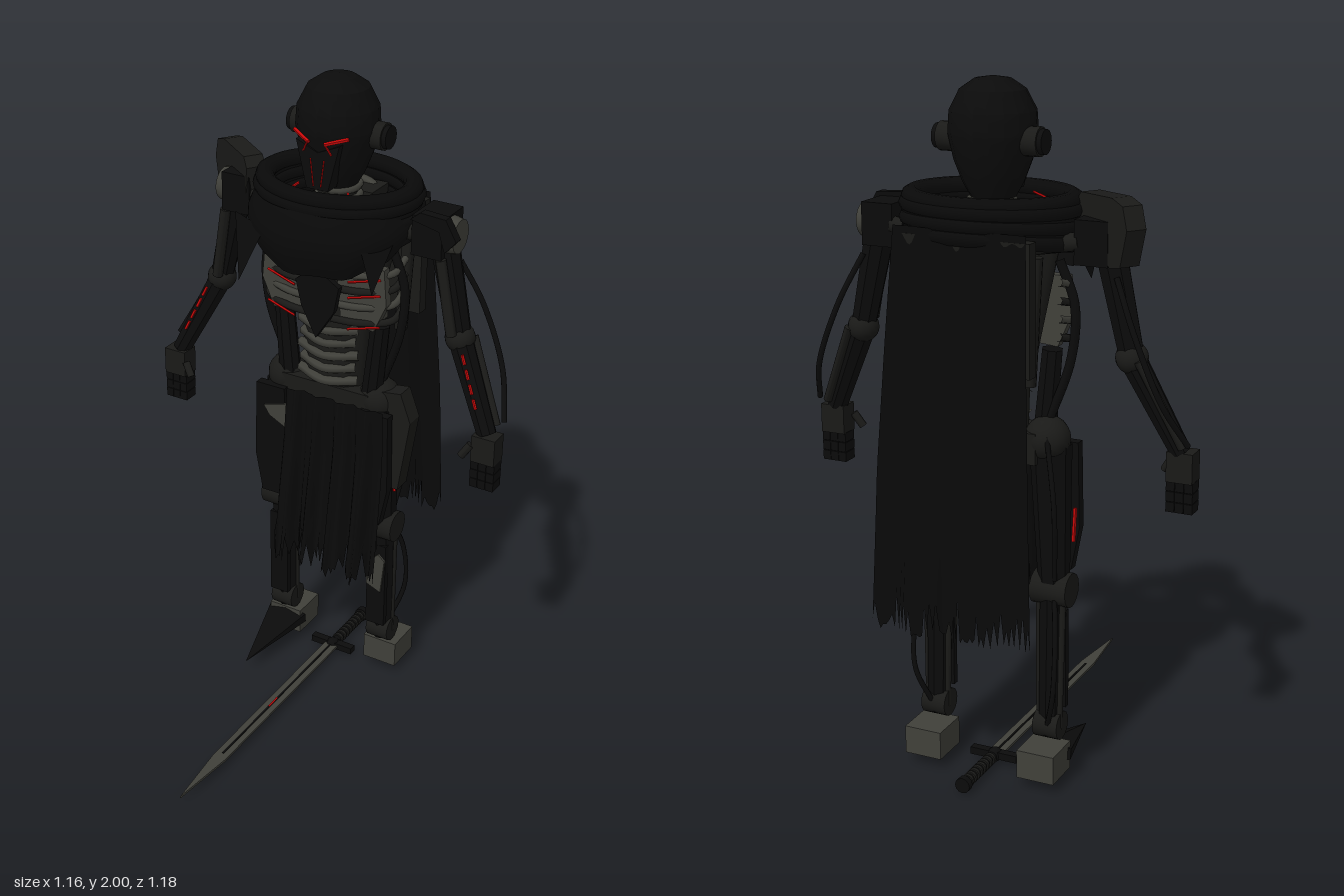
import * as THREE from 'three';
import { toCreasedNormals } from 'three/addons/utils/BufferGeometryUtils.js';

const V = (x, y, z) => new THREE.Vector3(x, y, z);
const paint = (name, color, side = THREE.FrontSide) => {
  const m = new THREE.MeshStandardMaterial({ color, side });
  m.name = name;
  return m;
};

export function createModel() {
  const root = new THREE.Group();
  root.name = 'raggedSwordsmanRobot';
  const black = paint('black armour', 0x0b0b0b);
  const cloth = paint('black cloth', 0x090909, THREE.DoubleSide);
  const dark = paint('dark metal', 0x1a1a18);
  const grey = paint('worn grey metal', 0x40403a);
  const red = paint('red glow', 0xc80808);

  let seed = 7;
  const rnd = () => (seed = (seed * 16807) % 2147483647) / 2147483647;

  // Helpers
  const add = (name, geo, mat, x = 0, y = 0, z = 0) => {
    const m = new THREE.Mesh(geo, mat);
    m.name = name;
    m.position.set(x, y, z);
    root.add(m);
    return m;
  };
  const box = (name, mat, w, h, d, x, y, z) => add(name, new THREE.BoxGeometry(w, h, d), mat, x, y, z);
  const ball = (name, mat, r, x, y, z) => add(name, new THREE.SphereGeometry(r, 16, 12), mat, x, y, z);
  const limb = (name, mat, a, b, r0, r1 = r0, sides = 12) => {
    const d = b.clone().sub(a);
    const m = add(name, toCreasedNormals(new THREE.CylinderGeometry(r1, r0, d.length(), sides), 0.7), mat);
    m.position.copy(a).addScaledVector(d, 0.5);
    m.quaternion.setFromUnitVectors(V(0, 1, 0), d.normalize());
    return m;
  };
  const hose = (name, mat, r, ...pts) =>
    add(name, new THREE.TubeGeometry(new THREE.CatmullRomCurve3(pts), 24, r, 6), mat);
  const plate = (name, mat, pts, depth, z, x = 0) => {
    const shape = new THREE.Shape(pts.map(p => new THREE.Vector2(...p)));
    const geo = new THREE.ExtrudeGeometry(shape, { depth, bevelEnabled: false });
    return add(name, geo.translate(0, 0, -depth / 2), mat, x, 0, z);
  };

  // Head: faceted helmet, ear discs, face mask and glowing slits
  const skull = [[0, 1.68], [0.062, 1.68], [0.084, 1.72], [0.107, 1.78], [0.122, 1.85], [0.118, 1.91],
    [0.09, 1.965], [0.05, 1.992], [0, 2]].map(p => new THREE.Vector2(...p));
  add('helmet', toCreasedNormals(new THREE.LatheGeometry(skull, 18), 0.4), black, 0, 0, -0.27);
  plate('faceMask', black, [[-0.07, 1.83], [-0.035, 1.69], [0.035, 1.69], [0.07, 1.83], [0, 1.8]], 0.05, -0.18);
  for (const s of [-1, 1]) {
    limb('earDisc', black, V(s * 0.1, 1.835, -0.285), V(s * 0.162, 1.835, -0.285), 0.034, 0.034, 18);
    limb('earCap', dark, V(s * 0.1, 1.835, -0.285), V(s * 0.148, 1.835, -0.285), 0.04, 0.04, 18);
    limb('eyeSlit', red, V(s * 0.025, 1.83, -0.148), V(s * 0.088, 1.848, -0.177), 0.006, 0.006, 5);
    limb('browSlit', red, V(s * 0.03, 1.828, -0.148), V(s * 0.045, 1.8, -0.154), 0.003, 0.003, 5);
    limb('cheekLine', red, V(s * 0.022, 1.78, -0.154), V(s * 0.012, 1.7, -0.154), 0.002, 0.002, 4);
    limb('collarLight', red, V(s * 0.08, 1.685, -0.19), V(s * 0.11, 1.66, -0.15), 0.004, 0.004, 4);
  }

  // Neck with stacked rings
  limb('neck', dark, V(0, 1.5, -0.28), V(0, 1.72, -0.27), 0.06);
  for (let i = 0; i < 4; i++) {
    const ring = add('neckRing', new THREE.TorusGeometry(0.06, 0.012, 6, 18), grey, 0, 1.58 + i * 0.03, -0.28);
    ring.rotation.x = Math.PI / 2;
  }
  hose('neckBackPipe', grey, 0.015, V(-0.07, 1.5, -0.36), V(-0.05, 1.63, -0.4), V(0.05, 1.63, -0.4), V(0.07, 1.5, -0.36));

  // Rolled cowl, each fold lower and dipping at the front
  for (let i = 0; i < 6; i++) {
    const fold = add('cowlFold', new THREE.TorusGeometry(0.225 + (i % 2) * 0.008, 0.03, 10, 40), cloth,
      0, 1.682 - i * 0.022, -0.28);
    fold.rotation.x = Math.PI / 2 + i * 0.03;
    fold.scale.set(1, 0.8, 0.8);
  }
  // Front drape of the cowl
  const drape = new THREE.PlaneGeometry(1, 1, 24, 6);
  for (let i = 0, p = drape.attributes.position; i < p.count; i++) {
    const a = p.getX(i) * 2.9, t = 0.5 - p.getY(i);
    const front = Math.max(0, Math.cos(a));
    const bulge = 1 + 0.13 * Math.sin(t * Math.PI) - 0.04 * t;
    p.setXYZ(i, Math.sign(a) * Math.abs(Math.sin(a)) ** 0.85 * 0.235 * bulge,
      1.65 - t * (0.11 + 0.085 * front) + 0.006 * Math.sin(a * 9) * t, -0.28 + Math.cos(a) ** 0.85 * 0.21 * bulge);
  }
  drape.computeVertexNormals();
  add('cowlDrape', drape, cloth);
  for (const [tip, a, b] of [
    [V(-0.18, 1.42, -0.02), V(-0.26, 1.58, -0.13), V(-0.13, 1.57, -0.08)],
    [V(0.23, 1.45, -0.07), V(0.17, 1.58, -0.1), V(0.24, 1.58, -0.18)]]) {
    const tear = new THREE.BufferGeometry().setFromPoints([tip, b, a]);
    tear.computeVertexNormals();
    add('cowlTear', tear, cloth);
  }

  // Torso: core, ribs and belly plates
  limb('chestCore', dark, V(0, 1.24, -0.28), V(0, 1.56, -0.28), 0.13, 0.2, 10).scale.z = 0.4;
  limb('belly', dark, V(0, 1.0, -0.28), V(0, 1.26, -0.28), 0.1, 0.11, 10).scale.z = 0.7;
  for (let i = 0; i < 5; i++) {
    const y = 1.06 + i * 0.042, w = 0.1 - 0.008 * (i % 2);
    hose('bellyPlate', grey, 0.016, V(-w, y + 0.01, -0.24), V(0, y, -0.21), V(w, y + 0.01, -0.24));
  }
  plate('chestEmblemPlate', black, [[-0.07, 1.4], [-0.03, 1.43], [0.03, 1.43], [0.075, 1.4], [0.06, 1.32],
    [0, 1.225], [-0.05, 1.32]], 0.02, -0.165);
  for (const s of [-1, 1]) {
    const m = pts => pts.map(([x, y]) => [s * x, y]);
    plate('chestPanel', grey, m([[0.04, 1.47], [0.2, 1.47], [0.21, 1.36], [0.17, 1.27], [0.06, 1.28]]), 0.03, -0.212);
    for (let i = 0; i < 4; i++) {
      const y = 1.45 - i * 0.05;
      hose('rib', i % 2 ? dark : grey, 0.011, V(s * 0.03, y - 0.02, -0.195), V(s * 0.13, y - 0.01, -0.192),
        V(s * 0.21, y, -0.235), V(s * 0.21, y + 0.02, -0.31));
      if (i !== 2) limb('ribLight', red, V(s * 0.09, y - 0.035, -0.183), V(s * 0.19, y - 0.012, -0.197), 0.004, 0.004, 5);
    }
    hose('sideHose', black, 0.013, V(s * 0.19, 1.52, -0.26), V(s * 0.235, 1.4, -0.26), V(s * 0.225, 1.25, -0.26),
      V(s * 0.16, 1.06, -0.27));
    limb('waistPiston', black, V(s * 0.14, 1.0, -0.25), V(s * 0.165, 1.27, -0.25), 0.035, 0.03, 8);
    limb('backRod', dark, V(s * 0.16, 1.2, -0.39), V(s * 0.18, 1.55, -0.39), 0.02);
    limb('collarBone', dark, V(s * 0.05, 1.55, -0.25), V(s * 0.28, 1.59, -0.25), 0.025);
    limb('shoulderBar', dark, V(s * 0.05, 1.55, -0.33), V(s * 0.28, 1.59, -0.33), 0.025);
  }

  // Spine column and back plate
  box('spine', dark, 0.17, 0.62, 0.1, 0, 1.33, -0.375);
  for (let i = 0; i < 14; i++) box('vertebra', grey, 0.19, 0.024, 0.115, 0, 1.05 + i * 0.042, -0.37);
  box('backPlate', dark, 0.4, 0.36, 0.04, 0, 1.42, -0.45);
  for (let i = 0; i < 4; i++) limb('spineBolt', dark, V(0, 1.08 + i * 0.05, -0.42), V(0, 1.08 + i * 0.05, -0.465), 0.018);
  box('pelvis', dark, 0.3, 0.09, 0.12, 0, 1.0, -0.27);

  // Arms
  for (const s of [-1, 1]) {
    const sh = V(s * 0.34, 1.59, -0.28), el = V(s * 0.41, 1.28, -0.28), wr = V(s * 0.535, 1.02, -0.23);
    box('shoulderBlock', black, 0.095, 0.12, 0.13, s * 0.318, 1.59, -0.285);
    limb('shoulderDisc', grey, V(s * 0.36, 1.59, -0.28), V(s * 0.395, 1.59, -0.28), 0.057, 0.05, 20);
    limb('upperArm', black, sh, el, 0.045, 0.036, 8);
    limb('upperArmRod', dark, V(s * 0.36, 1.53, -0.23), V(s * 0.4, 1.3, -0.24), 0.016);
    ball('elbow', dark, 0.045, el.x, el.y, el.z);
    limb('forearm', black, el, wr, 0.038, 0.03, 8);
    for (let i = 0; i < 4; i++) {
      const at = t => V(s * (0.44 + 0.07 * t), 1.25 - 0.16 * t, -0.236 + 0.03 * t);
      limb('forearmLight', red, at(i / 4), at(i / 4 + 0.17), 0.005, 0.005, 5);
    }
    limb('forearmRod', dark, V(s * 0.44, 1.28, -0.31), V(s * 0.55, 1.04, -0.26), 0.013);
    hose('armCable', black, 0.008, V(s * 0.38, 1.5, -0.32), V(s * 0.445, 1.36, -0.355), V(s * 0.52, 1.18, -0.345),
      V(s * 0.57, 1.05, -0.27));
    box('palm', dark, 0.075, 0.085, 0.06, s * 0.54, 0.98, -0.225);
    for (let i = 0; i < 9; i++)
      box('fingerSegment', black, 0.0245, 0.028, 0.05, s * 0.54 + (i % 3 - 1) * 0.026, 0.865 + Math.floor(i / 3) * 0.03, -0.225);
    limb('thumb', dark, V(s * 0.5, 0.99, -0.2), V(s * 0.475, 0.95, -0.19), 0.012);
  }
  plate('largePauldron', dark, [[-0.12, 1.64], [-0.1, 1.7], [-0.05, 1.715], [0.1, 1.71], [0.12, 1.68],
    [0.11, 1.6], [0, 1.57], [-0.04, 1.53], [-0.09, 1.54]], 0.06, -0.305, -0.355).rotation.y = -0.6;
  plate('smallPauldron', black, [[0.27, 1.64], [0.3, 1.665], [0.38, 1.66], [0.415, 1.6], [0.38, 1.56], [0.36, 1.62]],
    0.03, -0.225);

  // Legs
  for (const s of [-1, 1]) {
    const x = s * 0.18;
    ball('hip', dark, 0.065, s * 0.16, 1.02, -0.27);
    limb('thigh', black, V(s * 0.165, 1.0, -0.26), V(x, 0.6, -0.27), 0.06, 0.045, 8);
    plate('thighPlate', black, [[x - 0.05, 1.0], [x + 0.05, 1.0], [x + 0.055, 0.75], [x + 0.03, 0.62],
      [x - 0.03, 0.62], [x - 0.055, 0.75]], 0.03, -0.205);
    limb('kneeJoint', dark, V(x - 0.055, 0.58, -0.27), V(x + 0.055, 0.58, -0.27), 0.05, 0.05, 16);
    limb('shin', black, V(x, 0.57, -0.275), V(x, 0.14, -0.295), 0.04, 0.034, 8);
    box('shinPlate', black, 0.065, 0.3, 0.02, x, 0.36, -0.25);
    for (const e of [-1, 1]) limb('shinRod', dark, V(x + e * 0.036, 0.56, -0.29), V(x + e * 0.03, 0.16, -0.3), 0.01);
    limb('ankle', dark, V(x - 0.038, 0.17, -0.295), V(x + 0.038, 0.17, -0.295), 0.042, 0.042, 16);
    hose('legCable', black, 0.008, V(x + s * 0.02, 0.56, -0.31), V(x + s * 0.04, 0.45, -0.35),
      V(x + s * 0.04, 0.3, -0.365), V(x, 0.16, -0.32));
    hose('thighCable', black, 0.008, V(s * 0.18, 1.04, -0.32), V(s * 0.22, 0.85, -0.36), V(s * 0.2, 0.62, -0.31));
    limb('thighLight', red, V(s * 0.235, 0.82, -0.25), V(s * 0.23, 0.72, -0.25), 0.006, 0.006, 5);
    box('foot', grey, 0.115, 0.085, 0.12, x, 0.077, -0.34);
  }
  plate('thighPatch', grey, [[-0.2, 0.93], [-0.1, 0.96], [-0.09, 0.91], [-0.12, 0.87], [-0.18, 0.9]], 0.008, -0.187);
  plate('shinPatch', grey, [[0.15, 0.36], [0.2, 0.34], [0.212, 0.46], [0.19, 0.48], [0.148, 0.44]], 0.008, -0.237);
  plate('hipGuard', dark, [[0.18, 1.06], [0.25, 1.07], [0.285, 0.98], [0.25, 0.74], [0.2, 0.74]], 0.06, -0.26);
  const toe = add('toeGuard', new THREE.ConeGeometry(0.078, 0.27, 6).toNonIndexed(), black, -0.18, 0.067, -0.165);
  toe.geometry.computeVertexNormals();
  toe.rotation.x = Math.PI / 2 + 0.14;
  toe.scale.z = 0.4;

  // Hanging cloths with folds and a torn hem; rows are [y, z, left x, right x]
  const hang = (name, rows, folds, depth) => {
    const nx = 60, ny = 16;
    const geo = new THREE.PlaneGeometry(1, 1, nx, ny), p = geo.attributes.position;
    const tear = Array.from({ length: nx + 1 }, (_, i) => (i % 2 ? 0.12 : 0.03) * rnd());
    for (let j = 0; j <= ny; j++) for (let i = 0; i <= nx; i++) {
      const u = i / nx, f = (j / ny) * (rows.length - 1), k = Math.min(rows.length - 2, Math.floor(f));
      const [y, z, l, r] = rows[k].map((v, n) => v + (rows[k + 1][n] - v) * (f - k));
      const t = j / ny, wave = Math.sin(u * folds * 6.28) + 0.4 * Math.sin(u * folds * 15 + 1);
      p.setXYZ(j * (nx + 1) + i, l + (r - l) * u, y + tear[i] * Math.max(0, t * 4 - 3), z + wave * depth * (0.3 + t));
    }
    geo.computeVertexNormals();
    add(name, geo, cloth);
  };
  hang('frontCloth', [[1.02, -0.175, -0.11, 0.22], [0.85, -0.16, -0.11, 0.23], [0.65, -0.13, -0.11, 0.235],
    [0.45, -0.095, -0.1, 0.24]], 4, 0.022);
  hang('backCape', [[1.62, -0.47, -0.19, 0.2], [1.3, -0.495, -0.2, 0.22], [0.95, -0.52, -0.215, 0.24],
    [0.49, -0.55, -0.235, 0.25]], 2.5, 0.009);

  // Sword lying on the ground
  const outline = new THREE.Shape([[-0.023, 0.29], [0.023, 0.29], [0.022, -0.4], [0, -0.61], [-0.022, -0.4]]
    .reverse().map(p => new THREE.Vector2(...p)));
  const blade = add('swordBlade', new THREE.ExtrudeGeometry(outline, { depth: 0.008, bevelEnabled: false }), grey, 0, 0.026, 0);
  blade.rotation.x = -Math.PI / 2;
  box('bladeGroove', black, 0.006, 0.003, 0.66, 0, 0.035, 0.05);
  box('bladeLight', red, 0.006, 0.004, 0.05, 0, 0.0355, 0.09);
  box('swordGuard', black, 0.15, 0.022, 0.025, 0, 0.03, -0.29);
  ball('guardHub', black, 0.022, 0, 0.028, -0.29);
  limb('swordGrip', black, V(0, 0.028, -0.29), V(0, 0.028, -0.49), 0.014);
  for (let i = 0; i < 9; i++) limb('gripRing', dark, V(0, 0.028, -0.32 - i * 0.02), V(0, 0.028, -0.33 - i * 0.02), 0.019);
  limb('pommel', black, V(0, 0.028, -0.48), V(0, 0.028, -0.5), 0.023);

  return root;
}
